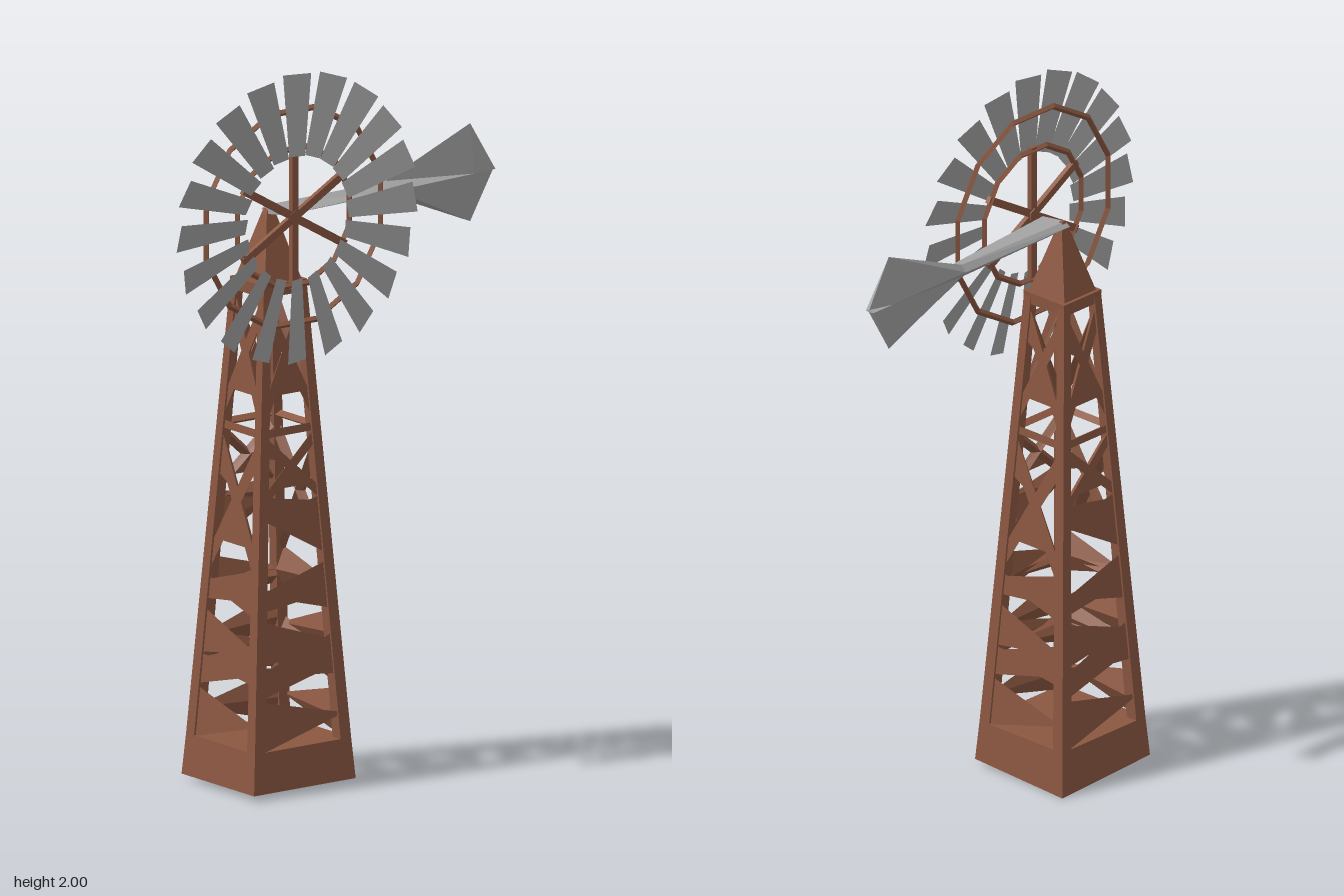
import * as THREE from 'three';

const wood = new THREE.MeshStandardMaterial({ color: 0x8b5741, flatShading: true, side: THREE.DoubleSide });
wood.name = 'brown wood';
const metal = new THREE.MeshStandardMaterial({ color: 0xa3a3a3, flatShading: true, side: THREE.DoubleSide });
metal.name = 'grey metal';

const CX = -0.18, TOP = 1.4, HUB_Y = 1.6;
const halfX = (y) => 0.173 - 0.1 * y / TOP;
const halfZ = (y) => 0.163 - 0.088 * y / TOP;

function add(group, name, geometry, material) {
  const mesh = new THREE.Mesh(geometry, material);
  mesh.name = name;
  group.add(mesh);
  return mesh;
}

function fromTriangles(points) {
  const g = new THREE.BufferGeometry();
  g.setAttribute('position', new THREE.Float32BufferAttribute(points.flat(), 3));
  g.computeVertexNormals();
  return g;
}

// Joins cross-sections with the same number of points and closes both ends
function loft(rings) {
  const t = [], n = rings[0].length;
  for (let r = 0; r + 1 < rings.length; r++) {
    for (let i = 0; i < n; i++) {
      const j = (i + 1) % n, a = rings[r], b = rings[r + 1];
      t.push(a[i], a[j], b[j], a[i], b[j], b[i]);
    }
  }
  const first = rings[0], last = rings[rings.length - 1];
  for (let i = 1; i + 1 < n; i++) {
    t.push(first[0], first[i + 1], first[i], last[0], last[i], last[i + 1]);
  }
  return fromTriangles(t);
}

// Square section of the tower, corners running counter-clockwise seen from above
function square(hx, hz, y) {
  return [[CX - hx, y, hz], [CX + hx, y, hz], [CX + hx, y, -hz], [CX - hx, y, -hz]];
}

// Point on a tower face: 0 front, 1 left, 2 back, 3 right; u runs -1 to 1 across it
function onFace(face, u, y, depth = 0.006) {
  const hx = halfX(y), hz = halfZ(y);
  if (face === 0) return [CX + u * hx, y, hz - depth];
  if (face === 1) return [CX + hx - depth, y, -u * hz];
  if (face === 2) return [CX - u * hx, y, -hz + depth];
  return [CX - hx + depth, y, u * hz];
}

// Brace that is wide at one post, pointed at the other, folded inwards
function wedge(face, side, y0, y1, yTip) {
  const a = onFace(face, side * 0.94, y0), b = onFace(face, side * 0.94, y1);
  const c = onFace(face, -side * 0.94, yTip);
  const d = onFace(face, side * 0.75, (y0 + y1) / 2, 0.035);
  const tris = [a, c, b, a, d, c, d, b, c, a, b, d];
  if (side > 0) tris.reverse();
  return fromTriangles(tris);
}

// Thin bar with a triangular section along a face
function bar(face, u0, y0, u1, y1, w) {
  const ring = (u, y) => [onFace(face, u, y - w / 2), onFace(face, u, y + w / 2), onFace(face, u, y, 0.026)];
  return loft([ring(u0, y0), ring(u1, y1)]);
}

function buildTower() {
  const tower = new THREE.Group();
  tower.name = 'tower';

  // Solid foot, lowest at one corner
  const foot = square(halfX(0), halfZ(0), 0.016);
  foot[2][1] = 0;
  add(tower, 'foot', loft([foot, square(halfX(0.13), halfZ(0.13), 0.13)]), wood);

  // Corner posts
  for (const sx of [-1, 1]) for (const sz of [-1, 1]) {
    const ring = (y, w) => {
      const x = halfX(y), z = halfZ(y);
      const pts = [[x, z], [x, z - w], [x - w, z - w], [x - w, z]];
      if (sx * sz < 0) pts.reverse();
      return pts.map(([px, pz]) => [CX + sx * px, y, sz * pz]);
    };
    add(tower, 'cornerPost', loft([ring(0.1, 0.036), ring(TOP, 0.026)]), wood);
  }

  for (let f = 0; f < 4; f++) {
    // Zigzag braces in the lower bays
    const frontal = f % 2 === 0;
    const wedges = [[-1, 0.12, 0.27, 0.20], [-1, 0.27, 0.36, 0.34], [1, 0.31, 0.43, 0.34],
      [-1, 0.36, 0.49, 0.40], [-1, 0.51, 0.575, 0.54], [1, 0.49, 0.63, 0.56]];
    if (frontal) wedges.push([-1, 0.75, 0.83, 0.79], [1, 0.64, 0.81, 0.77]);
    for (const [side, y0, y1, tip] of wedges) add(tower, 'zigzagBrace', wedge(f, side, y0, y1, tip), wood);

    // Level rails
    for (const y of [0.345, 0.56, 1.0, 1.385]) add(tower, 'rail', bar(f, -0.95, y, 0.95, y, 0.022), wood);

    // Crossed braces with triangular gussets in the upper bays
    const bays = frontal ? [[0.79, 1.0], [1.0, 1.39]] : [[0.57, 1.0], [1.0, 1.39]];
    for (const [y0, y1] of bays) {
      const h = y1 - y0, w = h * 0.17;
      add(tower, 'crossBrace', bar(f, -0.9, y0 + w / 2, 0.9, y1 - w / 2, w), wood);
      add(tower, 'crossBrace', bar(f, 0.9, y0 + w / 2, -0.9, y1 - w / 2, w), wood);
      const m = y0 + h * 0.5;
      add(tower, 'gusset', fromTriangles([
        onFace(f, -0.45, m - h * 0.24), onFace(f, 0.45, m - h * 0.24), onFace(f, 0, m + h * 0.08),
        onFace(f, -0.9, y1), onFace(f, -0.9, y1 - h * 0.3), onFace(f, -0.15, m + h * 0.1),
      ]), wood);
    }
  }

  // Platform rim and pointed cap
  add(tower, 'platform', loft([square(0.072, 0.074, 1.375), square(0.074, 0.076, 1.41)]), wood);
  add(tower, 'cap', loft([square(0.062, 0.066, 1.41), square(0.015, 0.012, 1.59), square(0.006, 0.005, 1.615)]), wood);
  return tower;
}

function buildWheel() {
  const wheel = new THREE.Group();
  wheel.name = 'wheel';
  wheel.position.set(CX, HUB_Y, 0);

  // Twenty pitched, tapered blades
  const pitch = 0.28, count = 20;
  const edge = (r, w) => [-1, 1].map((s) => [r, s * w * Math.cos(pitch), 0.128 - s * w * Math.sin(pitch)]);
  const [a, b] = edge(0.172, 0.023), [d, c] = edge(0.402, 0.041);
  const bladeGeometry = fromTriangles([a, d, c, a, c, b]);
  for (let i = 0; i < count; i++) {
    add(wheel, 'blade', bladeGeometry, metal).rotation.z = i * Math.PI * 2 / count;
  }

  // Twelve-sided support rings
  for (const r of [0.197, 0.307]) {
    const ring = add(wheel, 'supportRing', new THREE.TorusGeometry(r, 0.009, 4, 12), wood);
    ring.position.z = 0.111;
    ring.rotation.z = Math.PI / 12;
  }

  // Six spokes and the hub
  const spokeGeometry = new THREE.BoxGeometry(0.2, 0.021, 0.014).translate(0.1, 0, 0.113);
  for (let i = 0; i < 6; i++) {
    add(wheel, 'spoke', spokeGeometry, wood).rotation.z = Math.PI / 6 + i * Math.PI / 3;
  }
  const hub = add(wheel, 'hub', new THREE.CylinderGeometry(0.02, 0.02, 0.02, 6), wood);
  hub.rotation.x = Math.PI / 2;
  hub.position.z = 0.112;
  return wheel;
}

// Tapering boom that fans out into the tail fin: x, half height, front z
function buildTail() {
  const sections = [[-0.19, 0.012, 0.083], [0.22, 0.018, 0.044], [0.508, 0.137, 0.018], [0.585, 0.004, 0.01]];
  const rings = sections.map(([x, h, zf]) => [
    [x, HUB_Y, zf], [x, HUB_Y - h, -0.002], [x, HUB_Y, -0.018], [x, HUB_Y + h, -0.002],
  ]);
  const tail = new THREE.Mesh(loft(rings), metal);
  tail.name = 'tailVane';
  return tail;
}

export function createModel() {
  const model = new THREE.Group();
  model.name = 'windPump';
  model.add(buildTower(), buildWheel(), buildTail());
  return model;
}
